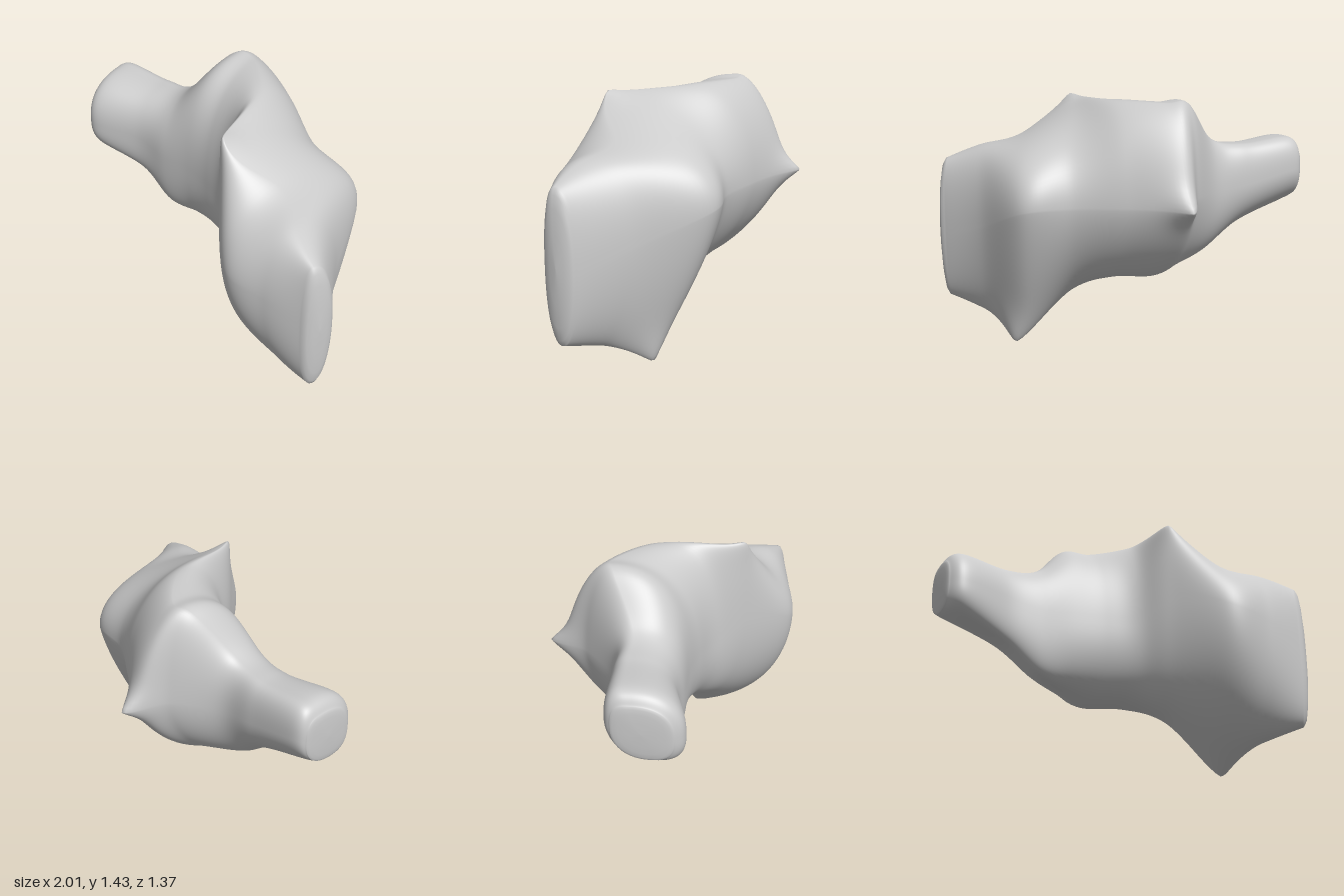
import * as THREE from 'three';

// Cross-sections from the left arm round to the right slab. Columns:
// front x, z | back x, z | top y, its place front-to-back | bottom y, its place |
// front y, back y | roundness of front, upper back, lower back (2 = straight)
const sections = [
  [-0.985, 0.11, -0.99, -0.21, 1.1, 0.72, 0.78, 0.35, 0.9, 0.97, 0.8, 0.7, 0.9],
  [-0.9, 0.165, -0.92, -0.25, 1.165, 0.74, 0.735, 0.28, 0.88, 0.98, 0.8, 0.75, 1.0],
  [-0.62, 0.1, -0.63, -0.26, 1.145, 0.72, 0.635, 0.22, 0.85, 0.92, 0.75, 0.8, 1.0],
  [-0.42, 0.115, -0.42, -0.28, 1.19, 0.7, 0.48, 0.25, 0.8, 0.9, 0.8, 0.9, 1.0],
  [-0.23, 0.13, -0.22, -0.45, 1.42, 0.72, 0.435, 0.35, 0.8, 0.92, 0.85, 1.0, 1.2],
  [-0.06, 0.17, -0.09, -0.58, 1.43, 0.62, 0.4, 0.4, 0.8, 0.9, 0.85, 1.2, 1.4],
  [0.1, 0.25, 0.18, -0.42, 1.425, 0.45, 0.39, 0.42, 0.8, 0.89, 0.85, 1.0, 1.3],
  [0.215, 0.41, 0.43, -0.27, 1.37, 0.07, 0.31, 0.48, 0.95, 0.88, 0.85, 0.95, 1.3],
  [0.45, 0.67, 0.71, -0.2, 1.195, 0.4, 0.09, 0.64, 0.81, 0.86, 1.05, 0.95, 1.6],
  [0.7, 0.67, 0.84, 0.2, 1.12, 0.42, 0.14, 0.6, 0.75, 0.7, 0.95, 0.85, 1.2],
  [0.91, 0.64, 0.99, 0.47, 1.035, 0.35, 0.2, 0.5, 0.66, 0.6, 0.85, 0.9, 1.0],
];

// Pointed tips: centre, pull, radius
const tips = [
  { at: [-0.09, 0.9, -0.58], pull: [0, 0, -0.1], r: 0.075 },
  { at: [0.62, 0.09, 0.11], pull: [0.05, -0.08, 0], r: 0.11 },
  { at: [0.23, 1.36, 0.37], pull: [0, 0.04, 0.02], r: 0.07 },
].map(t => ({ at: new THREE.Vector3(...t.at), pull: new THREE.Vector3(...t.pull), r: t.r }));

// Smooth blend of all columns along the body
function sectionAt(u) {
  const last = sections.length - 1;
  const k = Math.min(Math.floor(u), last - 1), f = u - k;
  const row = i => sections[Math.max(0, Math.min(last, i))];
  const [a, b, c, d] = [row(k - 1), row(k), row(k + 1), row(k + 2)];
  return b.map((p, i) => {
    const m0 = (c[i] - a[i]) / 2, m1 = (d[i] - p) / 2, q = c[i];
    return p + m0 * f + (3 * (q - p) - 2 * m0 - m1) * f * f + (2 * (p - q) + m0 + m1) * f * f * f;
  });
}

// Point on a section: 0 = front, 90 = top, 180 = back, 270 = bottom
function ringPoint(s, angle) {
  const [fx, fz, bx, bz, top, topT, bot, botT, fy, by, eFront, eUpper, eLower] = s;
  const c = Math.cos(angle), n = Math.sin(angle);
  const e = c > 0 ? eFront : n > 0 ? eUpper : eLower;
  const w = Math.pow(Math.abs(c), e), h = Math.pow(Math.abs(n), e);
  const midT = n > 0 ? topT : botT, endY = n > 0 ? top : bot;
  const t = c > 0 ? midT * (1 - w) : midT + (1 - midT) * w;
  const sideY = c > 0 ? fy : by;
  return new THREE.Vector3(fx + (bx - fx) * t, sideY + (endY - sideY) * h, fz + (bz - fz) * t);
}

function bodyGeometry() {
  const around = 96, along = 120, span = sections.length - 1;
  const rings = [];
  for (let i = 0; i <= along; i++) {
    const s = sectionAt(span * i / along);
    rings.push(Array.from({ length: around }, (_, j) => ringPoint(s, j / around * Math.PI * 2)));
  }
  // Rounded ends shrinking to a point
  const cap = (ring, bulge) => {
    const mid = ring.reduce((m, p) => m.add(p), new THREE.Vector3()).divideScalar(around);
    return [0.92, 0.75, 0.45, 0.001].map(k =>
      ring.map(p => p.clone().lerp(mid, 1 - k).addScaledVector(bulge, Math.sqrt(1 - k * k))));
  };
  const start = cap(rings[0], new THREE.Vector3(-0.012, 0, 0)).reverse();
  const end = cap(rings[along], new THREE.Vector3(0.04, 0, 0.015));
  const all = [...start, ...rings, ...end];

  const pos = [], index = [];
  for (const ring of all) for (const p of ring) {
    const base = p.clone();
    for (const t of tips) p.addScaledVector(t.pull, Math.exp(-Math.pow(base.distanceTo(t.at) / t.r, 1.3)));
    pos.push(p.x, p.y, p.z);
  }
  for (let i = 0; i < all.length - 1; i++) for (let j = 0; j < around; j++) {
    const k = (j + 1) % around;
    const a = i * around + j, b = a + around, c = i * around + k, d = c + around;
    index.push(a, b, c, b, d, c);
  }
  const g = new THREE.BufferGeometry();
  g.setAttribute('position', new THREE.Float32BufferAttribute(pos, 3));
  g.setIndex(index);
  g.computeVertexNormals();
  return g;
}

export function createModel() {
  const group = new THREE.Group();
  group.name = 'organicForm';
  const body = new THREE.Mesh(bodyGeometry(), new THREE.MeshStandardMaterial({ color: 0xcccccc }));
  body.name = 'body';
  group.add(body);
  return group;
}
